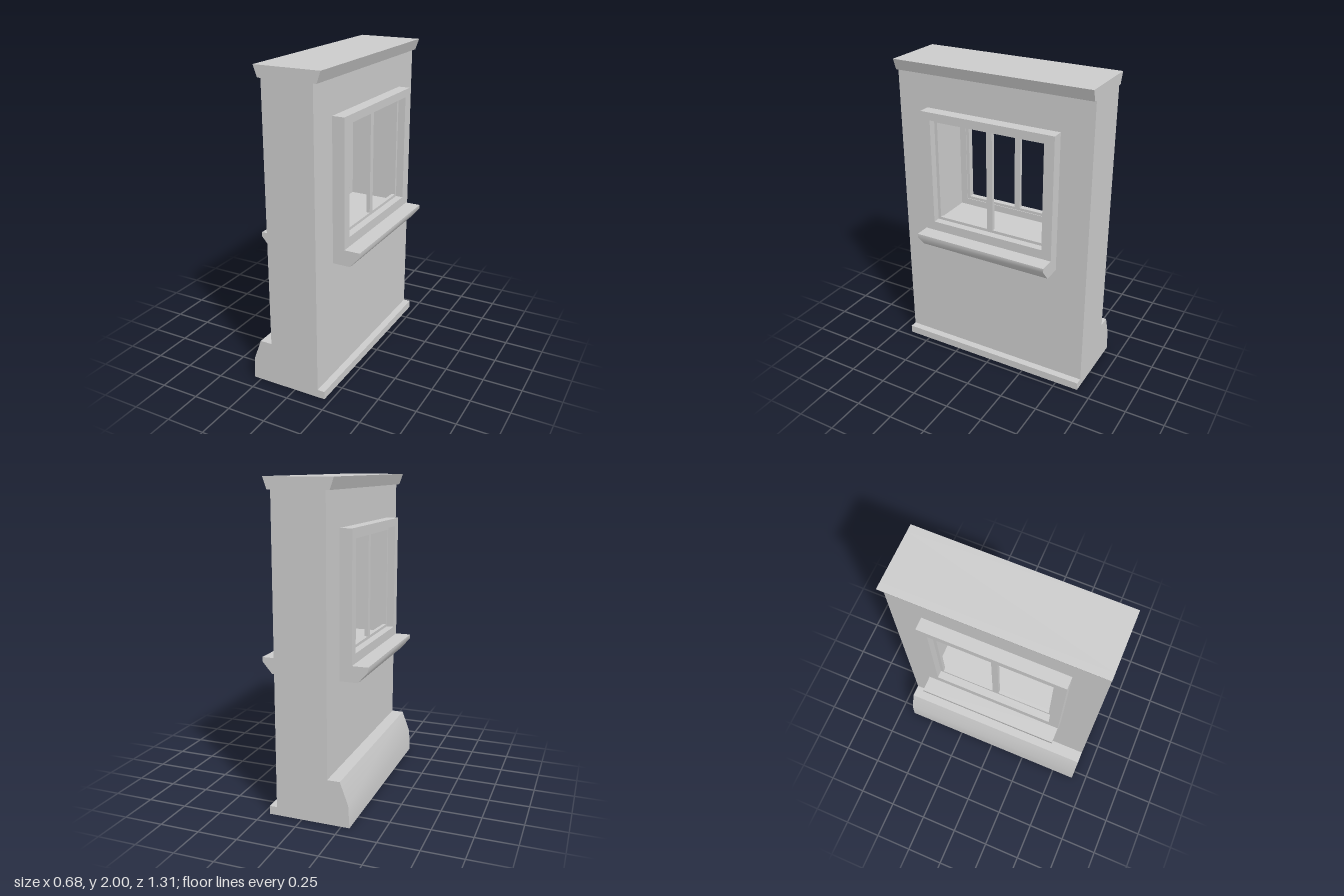
import * as THREE from 'three';
import { toCreasedNormals } from 'three/addons/utils/BufferGeometryUtils.js';

const material = new THREE.MeshStandardMaterial({ color: 0xcccccc });
const LENGTH = 1.306, HALF_WALL = 0.163, WINDOW = 0.9;

const rectPoints = (w, y0, y1) => [[-w, y0], [w, y0], [w, y1], [-w, y1]].map(([a, b]) => new THREE.Vector2(a, b));

function named(name, geometry) {
  const mesh = new THREE.Mesh(toCreasedNormals(geometry, 0.77), material);
  mesh.name = name;
  return mesh;
}

// Moulding: an (x, y) profile run along z, centred
function moulding(name, points, length) {
  const shape = new THREE.Shape(points.map(([x, y]) => new THREE.Vector2(x, y)));
  const geo = new THREE.ExtrudeGeometry(shape, { depth: length, bevelEnabled: false });
  return named(name, geo.translate(0, 0, -length / 2));
}

// Panel: a (z, y) rectangle with rectangular holes, spanning x0..x1
function panel(name, outer, holes, x0, x1) {
  const shape = new THREE.Shape(outer);
  for (const h of holes) shape.holes.push(new THREE.Path(h));
  const geo = new THREE.ExtrudeGeometry(shape, { depth: x1 - x0, bevelEnabled: false });
  return named(name, geo.rotateY(Math.PI / 2).translate(x0, 0, 0));
}

function createWindow() {
  const win = new THREE.Group();
  // Surround standing proud of the wall
  win.add(panel('windowFrame', rectPoints(0.45, 0.82, 1.715), [rectPoints(0.385, 0.98, 1.665)], HALF_WALL, 0.24));
  // Two-light sash set back in the surround
  const pane = (side) => rectPoints(0.1725, 0.998, 1.64).map((p) => p.add(new THREE.Vector2(side * 0.1925, 0)));
  win.add(panel('sash', rectPoints(0.385, 0.98, 1.665), [pane(-1), pane(1)], 0.168, 0.192));
  // Projecting sill with a sloped underside
  win.add(moulding('sill', [[0.24, 0.82], [0.278, 0.82], [0.34, 0.893], [0.34, 0.92], [0.24, 0.92]], WINDOW));
  return win;
}

export function createModel() {
  const model = new THREE.Group();
  model.name = 'wallWithWindow';

  // Wall with an opening slightly larger than the window frames
  model.add(panel('wall', rectPoints(LENGTH / 2, 0, 2), [rectPoints(0.43, 0.935, 1.705)], -HALF_WALL, HALF_WALL));

  // Tapered cornices and windows on both faces
  for (const [side, angle] of [['left', 0], ['right', Math.PI]]) {
    const face = new THREE.Group();
    face.name = side + 'Face';
    face.add(moulding('cornice', [[HALF_WALL, 1.93], [0.185, 1.93], [0.21, 2], [HALF_WALL, 2]], LENGTH));
    const win = createWindow();
    win.name = side + 'Window';
    face.add(win);
    face.rotation.y = angle;
    model.add(face);
  }

  // Low skirting on one side, tall sloped plinth on the other
  model.add(moulding('skirting', [[HALF_WALL, 0], [0.21, 0], [0.21, 0.052], [HALF_WALL, 0.052]], LENGTH));
  model.add(moulding('plinth', [[-HALF_WALL, 0], [-HALF_WALL, 0.28], [-0.242, 0.28], [-0.294, 0.14], [-0.302, 0]], LENGTH));
  return model;
}
